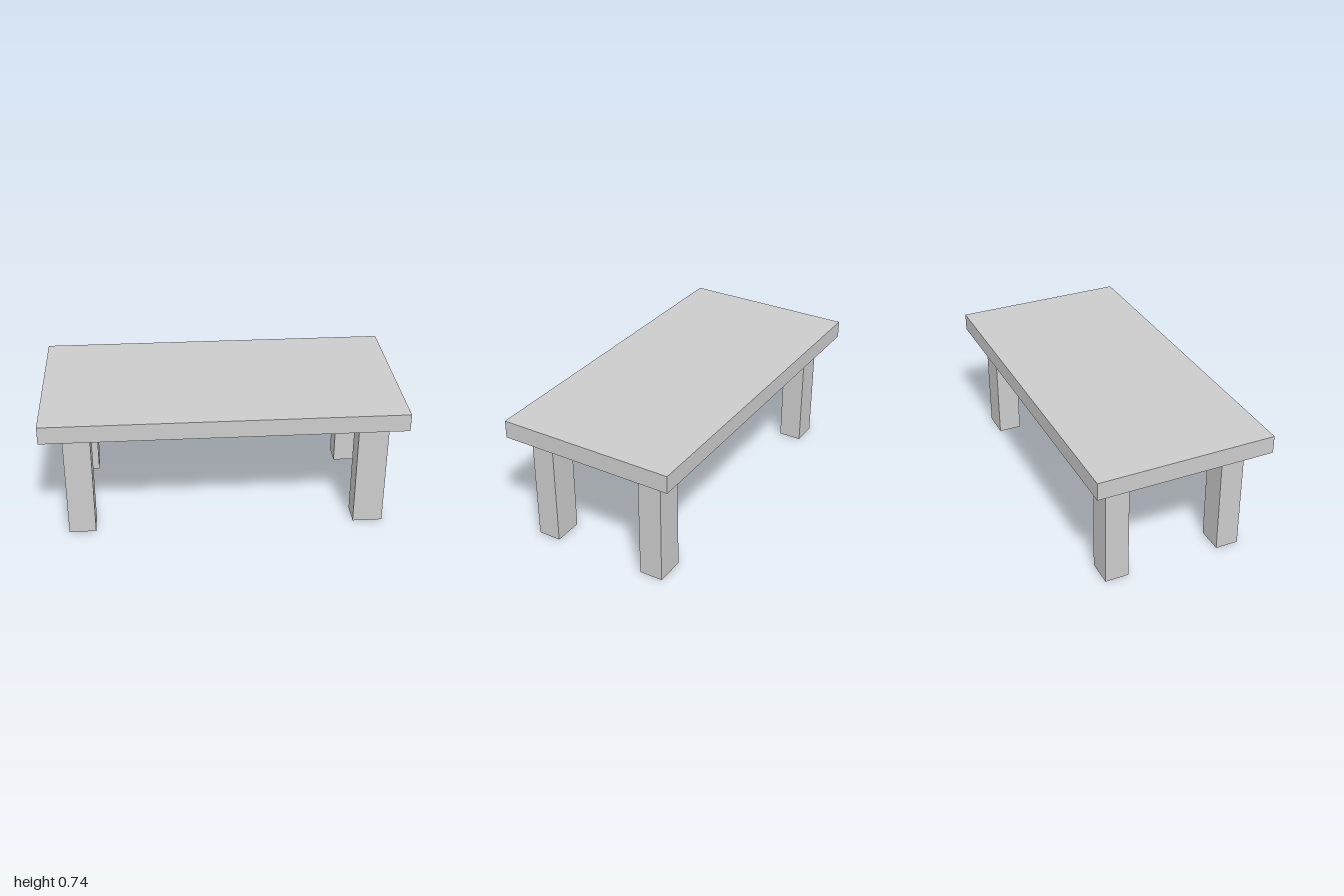
import * as THREE from 'three';

const material = new THREE.MeshStandardMaterial({ color: 0xcccccc, flatShading: true });

// Box spanning the given [min, max] range on each axis
function box(name, [x0, x1], [y0, y1], [z0, z1]) {
  const mesh = new THREE.Mesh(new THREE.BoxGeometry(x1 - x0, y1 - y0, z1 - z0), material);
  mesh.name = name;
  mesh.position.set((x0 + x1) / 2, (y0 + y1) / 2, (z0 + z1) / 2);
  return mesh;
}

export function createModel() {
  const table = new THREE.Group();
  table.name = 'table';
  const legHeight = 0.642;

  // Table top
  table.add(box('tableTop', [-1, 1], [legHeight, 0.742], [-0.5, 0.5]));

  // Four legs, slightly thicker on the left side
  const sides = { Left: [0.743, 0.911], Right: [-0.882, -0.731] };
  const ends = { front: [0.271, 0.403], back: [-0.402, -0.268] };
  for (const [end, z] of Object.entries(ends)) {
    for (const [side, x] of Object.entries(sides)) {
      table.add(box(`${end}${side}Leg`, x, [0, legHeight], z));
    }
  }
  return table;
}
